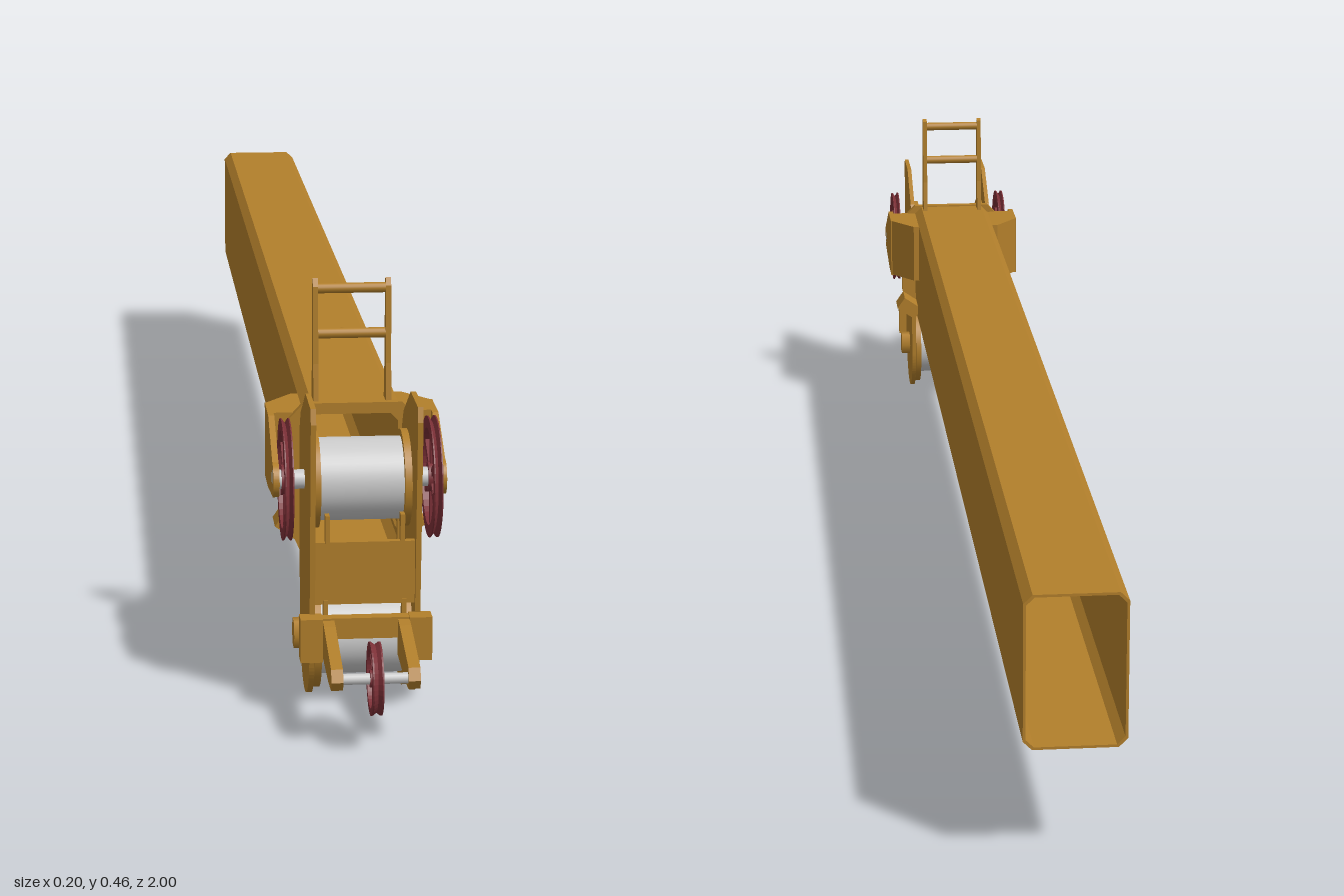
import * as THREE from 'three';

const paint = new THREE.MeshStandardMaterial({ color: 0xb27f2b, side: THREE.DoubleSide });
const red = new THREE.MeshStandardMaterial({ color: 0x7c3037 });
const grey = new THREE.MeshStandardMaterial({ color: 0xcccccc });

function add(parent, name, geometry, material, x = 0, y = 0, z = 0) {
  const mesh = new THREE.Mesh(geometry, material);
  mesh.name = name;
  mesh.position.set(x, y, z);
  parent.add(mesh);
  return mesh;
}
const box = (w, h, d) => new THREE.BoxGeometry(w, h, d);
// Cylinder lying along x
const rod = (r, len, seg = 24) => new THREE.CylinderGeometry(r, r, len, seg).rotateZ(Math.PI / 2);
const polygon = pts => new THREE.Shape(pts.map(p => new THREE.Vector2(...p)));
// Plate from a (z, y) outline, centred on x
function sidePlate(shape, thickness) {
  return new THREE.ExtrudeGeometry(shape, { depth: thickness, bevelEnabled: false, curveSegments: 20 })
    .translate(0, 0, -thickness / 2).rotateY(-Math.PI / 2);
}
// Rectangle outline with cut corners
const cutRect = (w, y0, y1, c) => [[-w + c, y0], [w - c, y0], [w, y0 + c], [w, y1 - c],
  [w - c, y1], [-w + c, y1], [-w, y1 - c], [-w, y0 + c]];

// Spoked wheel with a grooved rim, axis along x
function wheel(name, r, width, spokes) {
  const g = new THREE.Group();
  g.name = name;
  const h = width / 2, inner = r * 0.8;
  const profile = [[inner, -h], [r, -h], [r, -h * 0.7], [r * 0.92, 0], [r, h * 0.7], [r, h], [inner, h], [inner, -h]]
    .map(p => new THREE.Vector2(...p));
  const rim = new THREE.LatheGeometry(profile, 40).toNonIndexed();
  rim.computeVertexNormals();
  add(g, 'rim', rim.rotateZ(Math.PI / 2), red);
  add(g, 'hub', rod(r * 0.24, width), red);
  for (let i = 0; i < spokes; i++) {
    const a = i * 2 * Math.PI / spokes;
    const s = add(g, 'spoke', box(width * 0.5, r * 0.68, r * 0.13), red, 0, Math.cos(a) * r * 0.52, Math.sin(a) * r * 0.52);
    s.rotation.x = a;
  }
  return g;
}

// Rope drum with end flanges
function drum(name, y, z, flangeR) {
  const g = new THREE.Group();
  g.name = name;
  g.position.set(0, y, z);
  add(g, 'barrel', rod(0.047, 0.094, 40), grey);
  for (const s of [-1, 1]) add(g, 'flange', rod(flangeR, 0.008, 40), paint, s * 0.051);
  return g;
}

export function createModel() {
  const model = new THREE.Group();
  model.name = 'boomSection';

  // Hollow beam, open at both ends
  const section = polygon(cutRect(0.057, 0.137, 0.315, 0.01));
  section.holes.push(new THREE.Path(cutRect(0.054, 0.14, 0.312, 0.009).reverse().map(p => new THREE.Vector2(...p))));
  add(model, 'beam', new THREE.ExtrudeGeometry(section, { depth: 1.69, bevelEnabled: false }), paint, 0, 0, -1);

  // Collar around the front end of the beam
  const outline = [[0.05, 0.137], [0.062, 0.143], [0.078, 0.18], [0.078, 0.295], [0.057, 0.317]];
  const collar = polygon([...outline, ...outline.map(([x, y]) => [-x, y]).reverse()]);
  collar.holes.push(new THREE.Path(cutRect(0.052, 0.142, 0.304, 0.009).reverse().map(p => new THREE.Vector2(...p))));
  add(model, 'collar', new THREE.ExtrudeGeometry(collar, { depth: 0.01, bevelEnabled: false }), paint, 0, 0, 0.685);

  // Drums and their shafts
  const upY = 0.248, upZ = 0.767, lowY = 0.068, lowZ = 0.772;
  model.add(drum('upperDrum', upY, upZ, 0.055), drum('lowerDrum', lowY, lowZ, 0.062));
  add(model, 'upperShaft', rod(0.011, 0.196), grey, 0, upY, upZ);

  // Head cheek outline: round bottom, clipped top
  const cheek = new THREE.Shape();
  cheek.moveTo(0.842, lowY);
  cheek.lineTo(0.86, 0.335);
  cheek.lineTo(0.855, 0.352);
  cheek.lineTo(0.785, 0.352);
  cheek.lineTo(0.715, 0.312);
  cheek.lineTo(0.7, 0.29);
  cheek.lineTo(0.702, lowY);
  cheek.absarc(lowZ, 0.07, 0.07, Math.PI, 2 * Math.PI, false);

  // Arm outside the wheel, tapering to the shaft
  const arm = new THREE.Shape();
  arm.moveTo(0.64, 0.218);
  arm.lineTo(0.69, 0.218);
  arm.lineTo(upZ - 0.004, upY - 0.02);
  arm.absarc(upZ, upY, 0.02, -Math.PI / 2, Math.PI / 2, false);
  arm.lineTo(0.7, 0.305);
  arm.lineTo(0.64, 0.305);

  // Fork arm outline for the small front wheel
  const fork = polygon([[0.855, 0.068], [0.855, 0.11], [0.875, 0.108], [0.965, 0.09], [0.972, 0.077], [0.965, 0.066], [0.93, 0.064]]);

  // Ladder post outline
  const post = polygon([[0.658, 0.31], [0.688, 0.31], [0.682, 0.36], [0.678, 0.45], [0.673, 0.459], [0.666, 0.456], [0.664, 0.36]]);

  for (const s of [-1, 1]) {
    add(model, 'cheekPlate', sidePlate(cheek, 0.006), paint, s * 0.059);
    add(model, 'lowerBoss', rod(0.018, 0.014, 6), paint, s * 0.068, lowY, lowZ);

    const w = wheel('sideWheel', 0.069, 0.01, 6);
    w.position.set(s * 0.083, upY, upZ);
    model.add(w);
    add(model, 'wheelArm', sidePlate(arm, 0.007), paint, s * 0.0945);

    // Flared gusset joining the arm to the beam
    const gusset = polygon([[0.055, -0.6], [0.065, -0.6], [0.098, -0.642], [0.098, -0.688], [0.055, -0.688]].map(([x, z]) => [s * x, z]));
    add(model, 'armGusset', new THREE.ExtrudeGeometry(gusset, { depth: 0.086, bevelEnabled: false }).rotateX(-Math.PI / 2), paint, 0, 0.219, 0);

    // Small slanted lug low on the beam side
    const lug = add(model, 'sideLug', box(0.032, 0.02, 0.04), paint, s * 0.07, 0.164, 0.655);
    lug.rotation.z = s * 0.6;

    add(model, 'ladderPost', sidePlate(post, 0.006), paint, s * 0.042);
    add(model, 'forkArm', sidePlate(fork, 0.013), paint, s * 0.042);
    add(model, 'forkClamp', box(0.025, 0.05, 0.022), paint, s * 0.061, 0.088, 0.853);
    add(model, 'ropeGuardTab', box(0.005, 0.032, 0.012), paint, s * 0.042, 0.21, 0.837);
    add(model, 'hangerTab', box(0.005, 0.02, 0.012), paint, s * 0.044, 0.118, 0.837);
  }

  // Ladder rungs
  for (const y of [0.394, 0.447]) add(model, 'ladderRung', rod(0.006, 0.082, 16), paint, 0, y, 0.672);

  // Front cross plate between the cheeks and the bar carrying the fork
  add(model, 'crossPlate', box(0.114, 0.072, 0.008), paint, 0, 0.159, 0.837);
  add(model, 'forkBar', box(0.146, 0.024, 0.014), paint, 0, 0.1, 0.851);

  // Small front wheel on its axle
  const front = wheel('frontWheel', 0.04, 0.012, 6);
  front.position.set(0, 0.077, 0.96);
  model.add(front);
  add(model, 'frontAxle', rod(0.006, 0.09, 16), grey, 0, 0.077, 0.96);

  return model;
}
